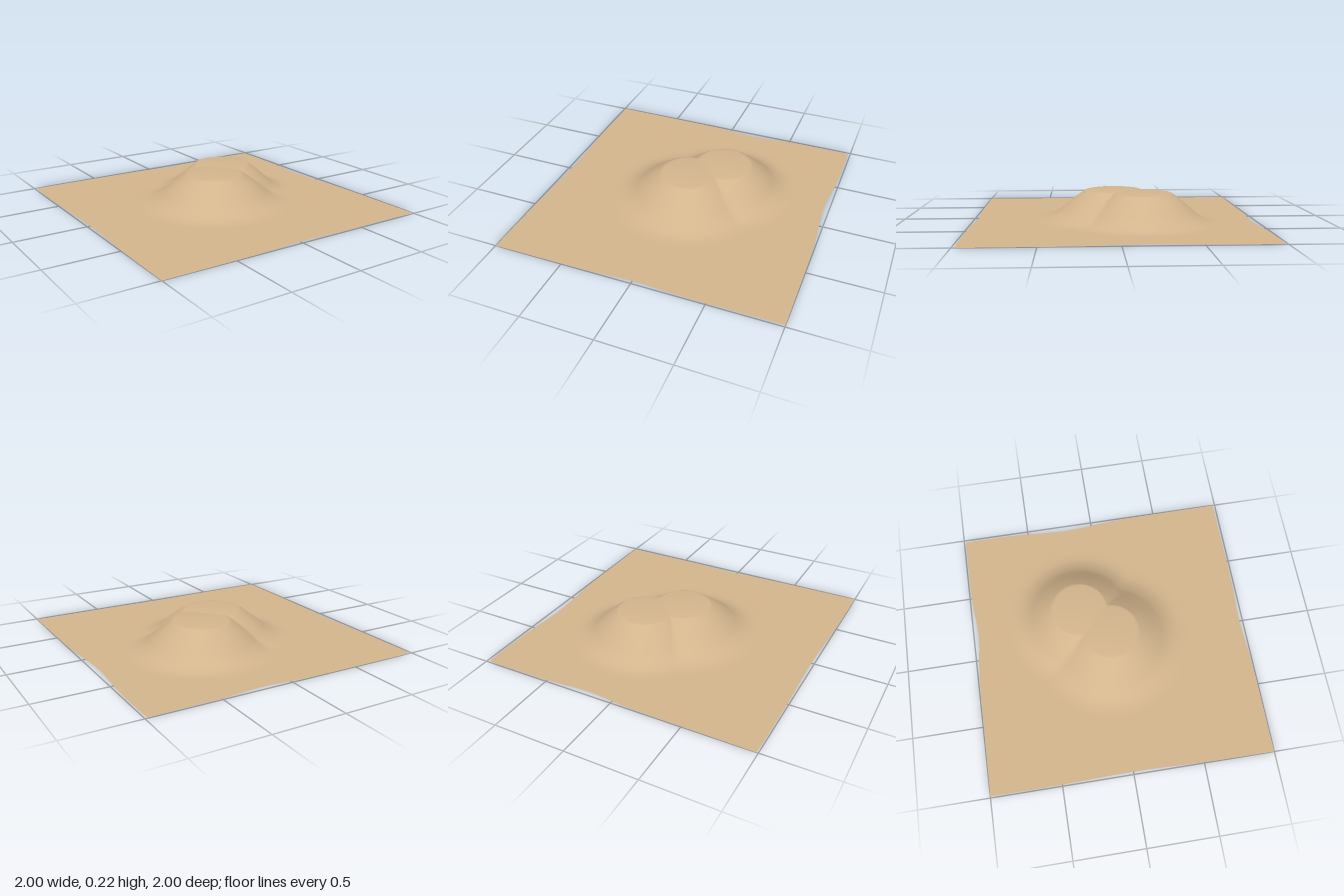
import * as THREE from 'three';

// Height of the slope against distance beyond the plateau rim, in steps of 0.05
const SLOPE = [0.205, 0.172, 0.135, 0.095, 0.056, 0.028, 0.01, 0.002, 0];
const RIM = 0.2;

function hill(x, z, cx, cz, steepness) {
  const r = Math.hypot(x - cx, z - cz);
  if (r < RIM) return SLOPE[0] + 0.012 * (1 - (r / RIM) ** 2);
  const t = ((r - RIM) * steepness) / 0.05;
  const i = Math.floor(t);
  if (i >= SLOPE.length - 1) return 0;
  // Catmull-Rom keeps the slope smooth
  const at = (k) => (k < 0 ? 2 * SLOPE[0] - SLOPE[1] : SLOPE[Math.min(k, SLOPE.length - 1)]);
  const [a, b, c, d] = [at(i - 1), at(i), at(i + 1), at(i + 2)];
  const f = t - i;
  return Math.max(0, b + 0.5 * f * (c - a + f * (2 * a - 5 * b + 4 * c - d + f * (3 * (b - c) + d - a))));
}

// Two flat-topped hills blended on the slopes, distinct on top
function height(x, z) {
  const a = hill(x, z, 0, 0, 1);
  const b = hill(x, z, 0.2, -0.2, 1.1);
  const top = Math.max(a, b);
  const k = 0.25 * Math.min(top, Math.max(0, SLOPE[0] - top)) + 1e-6;
  const h = Math.max(k - Math.abs(a - b), 0) / k;
  return top + h * h * k * 0.25;
}

const bump = (t, centre, width) => Math.exp(-(((t - centre) / width) ** 2));
const lerp = THREE.MathUtils.lerp;

// Slightly wavy borders of the ground sheet
const edges = {
  left: (v) => lerp(-0.99, -1, (v + 1) / 2) + 0.015 * bump(v, 0, 0.4),
  right: (v) => lerp(0.985, 1, (v + 1) / 2) - 0.03 * bump(v, -0.2, 0.3),
  back: (u) => lerp(-1, -0.99, Math.min(1, (u + 1) / 1.2)) + 0.025 * bump(u, 0.2, 0.22),
  front: (u) => lerp(1, 0.985, (u + 1) / 2) - 0.016 * bump(u, 0, 0.22),
};

export function createModel() {
  const group = new THREE.Group();
  group.name = 'terrain';

  const geometry = new THREE.PlaneGeometry(2, 2, 200, 200).rotateX(-Math.PI / 2);
  const p = geometry.attributes.position;
  for (let i = 0; i < p.count; i++) {
    const u = p.getX(i);
    const v = p.getZ(i);
    const x = lerp(edges.left(v), edges.right(v), (u + 1) / 2);
    const z = lerp(edges.back(u), edges.front(u), (v + 1) / 2);
    p.setXYZ(i, x, height(x, z), z);
  }
  geometry.computeVertexNormals();

  const ground = new THREE.Mesh(
    geometry,
    new THREE.MeshStandardMaterial({ color: 0xd2b48c, side: THREE.DoubleSide })
  );
  ground.name = 'groundWithTwinHill';
  group.add(ground);
  return group;
}
